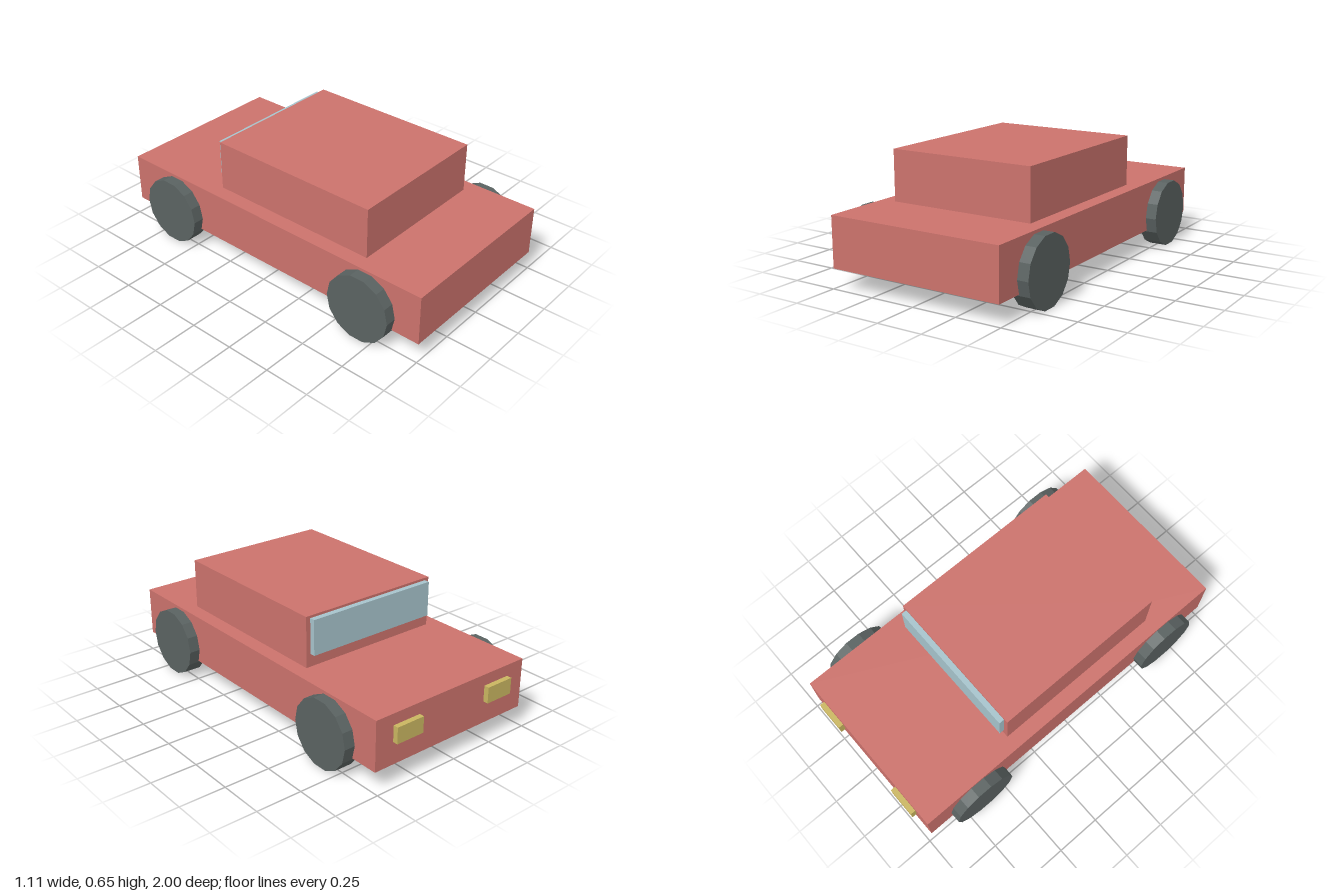
import * as THREE from 'three';

export function createModel() {
  const car = new THREE.Group();
  car.name = 'car';

  const material = (name, color) => {
    const m = new THREE.MeshStandardMaterial({ color, flatShading: true });
    m.name = name;
    return m;
  };
  const paint = material('red paint', 0xcb726c);
  const rubber = material('dark rubber', 0x5a6261);
  const glass = material('pale blue glass', 0xa6c3cb);
  const lamp = material('yellow lamp', 0xc9b560);

  const add = (name, geometry, mat, x, y, z) => {
    const mesh = new THREE.Mesh(geometry, mat);
    mesh.name = name;
    mesh.position.set(x, y, z);
    car.add(mesh);
  };
  // Box given by its width and its y and z limits, centred on x
  const addBox = (name, mat, width, y0, y1, z0, z1, x = 0) =>
    add(name, new THREE.BoxGeometry(width, y1 - y0, z1 - z0), mat, x, (y0 + y1) / 2, (z0 + z1) / 2);

  // Body, cabin and windshield; the bonnet points to -z
  addBox('body', paint, 0.985, 0.108, 0.38, -0.972, 1);
  addBox('cabin', paint, 0.822, 0.38, 0.655, -0.37, 0.616);
  addBox('windshield', glass, 0.772, 0.45, 0.642, -0.4, -0.37);

  // Headlights and wheels, mirrored left and right
  const wheel = new THREE.CylinderGeometry(0.186, 0.186, 0.098, 14).rotateZ(Math.PI / 2);
  for (const side of [-1, 1]) {
    const label = side > 0 ? 'left' : 'right';
    addBox(label + 'Headlight', lamp, 0.165, 0.23, 0.318, -1, -0.972, side * 0.302);
    add(label + 'FrontWheel', wheel, rubber, side * 0.504, 0.182, -0.644);
    add(label + 'RearWheel', wheel, rubber, side * 0.504, 0.182, 0.671);
  }
  return car;
}
